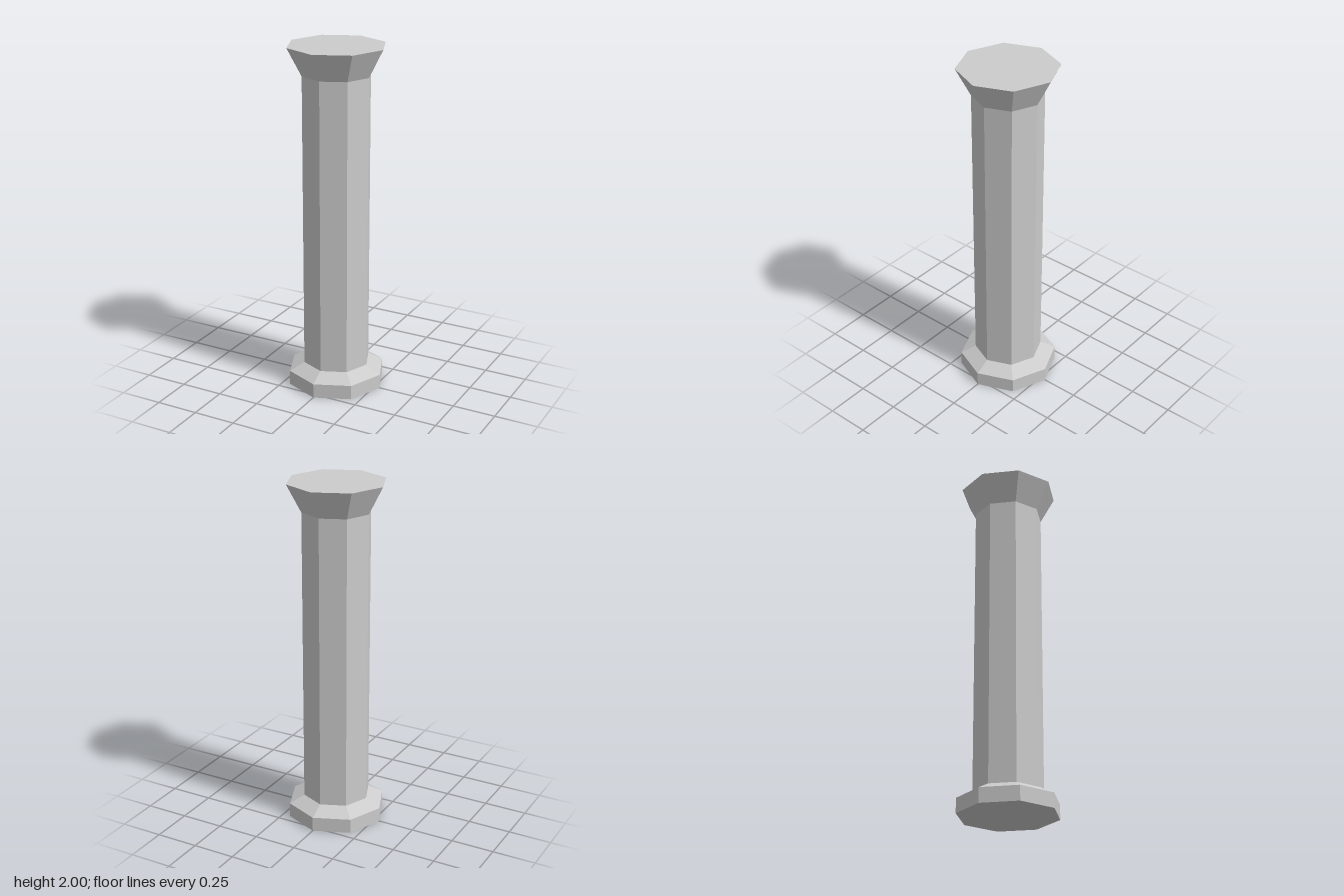
import * as THREE from 'three';

const SIDES = 8;

export function createModel() {
  const column = new THREE.Group();
  column.name = 'column';
  const material = new THREE.MeshStandardMaterial({ color: 0xcccccc, flatShading: true });

  // Octagonal section between two heights; corners lie on the x and z axes
  function addSection(name, bottomY, topY, bottomRadius, topRadius, open) {
    const height = topY - bottomY;
    const geometry = new THREE.CylinderGeometry(topRadius, bottomRadius, height, SIDES, 1, open);
    const mesh = new THREE.Mesh(geometry, material);
    mesh.name = name;
    mesh.position.y = bottomY + height / 2;
    column.add(mesh);
    return mesh;
  }

  // Closed underside of the base
  const underside = new THREE.Mesh(new THREE.CircleGeometry(0.285, SIDES), material);
  underside.name = 'underside';
  underside.rotation.x = Math.PI / 2;
  column.add(underside);

  // Base, sloped shoulder, shaft and flared capital, joined edge to edge
  addSection('base', 0, 0.085, 0.285, 0.285, true);
  addSection('baseShoulder', 0.085, 0.13, 0.285, 0.197, true);
  addSection('shaft', 0.13, 1.84, 0.197, 0.197, true);
  addSection('capital', 1.84, 2, 0.197, 0.28, true);

  // Flat top of the capital
  const top = new THREE.Mesh(new THREE.CircleGeometry(0.28, SIDES), material);
  top.name = 'capitalTop';
  top.rotation.x = -Math.PI / 2;
  top.position.y = 2;
  column.add(top);

  return column;
}
